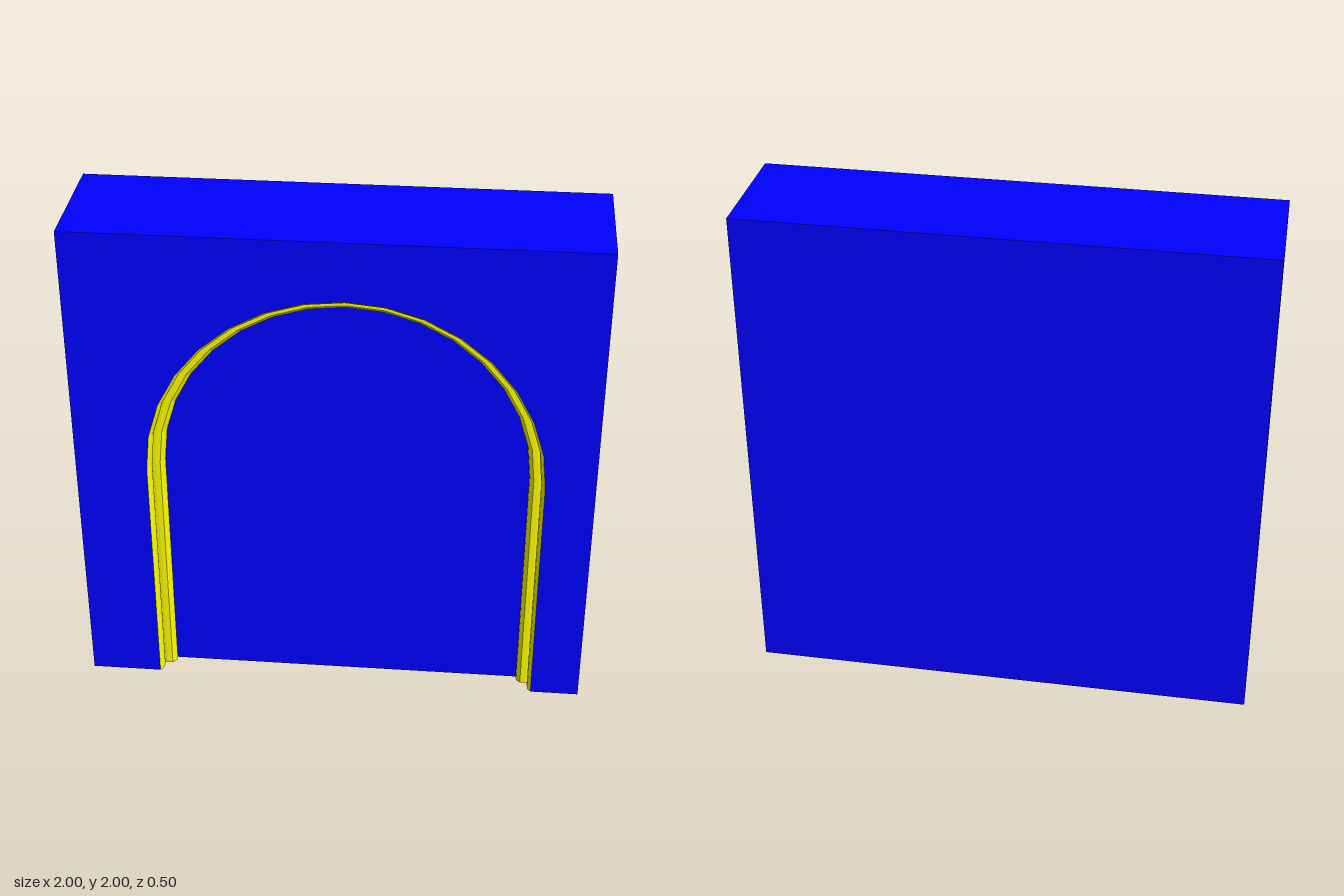
import * as THREE from 'three';

const CX = 0.043, SPRING = 1, R = 0.765; // arch centre, spring height, opening radius
const FRONT = 0.25, BACK = -0.25, PANEL = 0.16; // z of wall face, wall back, recessed panel
const STEPS = 16;

// Moulding section as [radius, z], from the wall face in to the recessed panel
const PROFILE = [
  [R, FRONT], [0.753, 0.235], [0.75, 0.215], [0.754, 0.195],
  [0.742, 0.197], [0.722, 0.197], [0.708, 0.183], [0.705, 0.17], [0.708, PANEL],
];

// Stations along the arch: angle and base height
function stations() {
  const list = [[0, 0]];
  for (let i = 0; i <= STEPS; i++) list.push([Math.PI * i / STEPS, SPRING]);
  list.push([Math.PI, 0]);
  return list;
}

const archPoint = ([a, y], r) => [CX + r * Math.cos(a), y + r * Math.sin(a)];

function mouldingGeometry() {
  const path = stations(), n = PROFILE.length, pos = [], idx = [];
  for (const s of path) {
    for (const [r, z] of PROFILE) pos.push(...archPoint(s, r), z);
  }
  for (let i = 0; i < path.length - 1; i++) {
    for (let j = 0; j < n - 1; j++) {
      const a = i * n + j, b = a + n;
      idx.push(a, b, a + 1, b, b + 1, a + 1);
    }
  }
  const g = new THREE.BufferGeometry();
  g.setAttribute('position', new THREE.Float32BufferAttribute(pos, 3));
  g.setIndex(idx);
  const flat = g.toNonIndexed();
  flat.computeVertexNormals();
  return flat;
}

export function createModel() {
  const group = new THREE.Group();
  const blue = new THREE.MeshStandardMaterial({ color: 0x0000ff, flatShading: true });
  const yellow = new THREE.MeshStandardMaterial({ color: 0xffff00, flatShading: true });
  const add = (name, geometry, material) => {
    const mesh = new THREE.Mesh(geometry, material);
    mesh.name = name;
    group.add(mesh);
    return mesh;
  };

  // Solid back of the wall, whose front is the recessed panel
  const depth = PANEL - BACK;
  add('wallBack', new THREE.BoxGeometry(2, 2, depth), blue)
    .position.set(0, 1, (PANEL + BACK) / 2);

  // Front layer of the wall, cut away by the arch
  const outline = [[1, 0], [1, 2], [-1, 2], [-1, 0]];
  for (const s of stations().reverse()) outline.push(archPoint(s, R));
  const shape = new THREE.Shape(outline.map(([x, y]) => new THREE.Vector2(x, y)));
  const face = new THREE.ExtrudeGeometry(shape, { depth: FRONT - PANEL, bevelEnabled: false });
  add('wallFace', face.translate(0, 0, PANEL), blue);

  // Stepped moulding running round the arch
  add('archMoulding', mouldingGeometry(), yellow);

  // Undersides closing the two feet of the moulding
  for (const side of [-1, 1]) {
    const pts = [...PROFILE, [R, PANEL]].map(([r, z]) => new THREE.Vector2(CX + side * r, z));
    const foot = new THREE.ShapeGeometry(new THREE.Shape(pts)).rotateX(Math.PI / 2);
    add(side < 0 ? 'rightFoot' : 'leftFoot', foot, blue);
  }
  return group;
}
